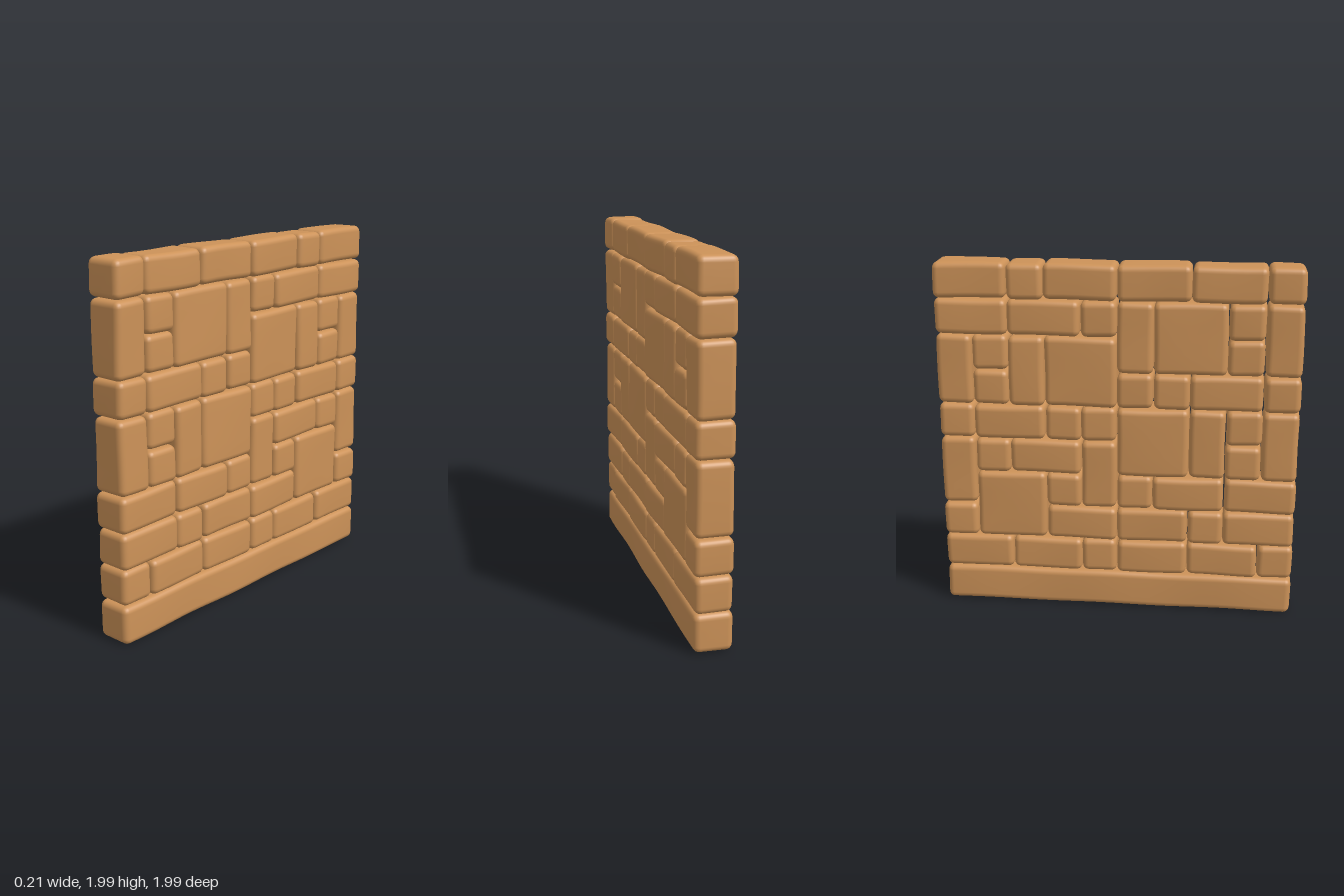
import * as THREE from 'three';
import { mergeVertices } from 'three/addons/utils/BufferGeometryUtils.js';

// Wall plan seen from +x: each letter is one block, columns run from +z to -z
const PLAN = [
  'abbccddeff',
  'ghiijkllmm',
  'gniijoopqr',
  'sttuvoopwr',
  'xyzAABCDDE',
  'xFzAAGHHIJ',
  'KKLLMGNOOJ',
  'PPQRRSSOOT',
  'UVVWWXYYZZ',
  '0000000000',
];
const PITCH_Z = 0.199, THICK = 0.205, RADIUS = 0.034, GAP = 0.003;
const rowY = (row) => (row === 10 ? 0.008 : 0.22 + (9 - row) * 0.1976);

// Rounded, gently uneven stone block; extra loops keep the long sides soft
function stoneGeometry(size, seed) {
  const ends = 3;
  const mids = size.map((s) => Math.max(2, Math.round(s / 0.1)));
  const geo = new THREE.BoxGeometry(1, 1, 1, ...mids.map((m) => m + 2 * ends));
  geo.deleteAttribute('normal');
  geo.deleteAttribute('uv');
  const pos = geo.attributes.position;
  const p = new THREE.Vector3(), core = new THREE.Vector3();
  for (let i = 0; i < pos.count; i++) {
    p.fromBufferAttribute(pos, i);
    for (let a = 0; a < 3; a++) {
      const n = mids[a] + 2 * ends, half = size[a] / 2, inner = half - RADIUS;
      const k = Math.round((p.getComponent(a) + 0.5) * n);
      let v;
      if (k <= ends) v = -half + (RADIUS * k) / ends;
      else if (k >= n - ends) v = half - (RADIUS * (n - k)) / ends;
      else v = -inner + (2 * inner * (k - ends)) / mids[a];
      p.setComponent(a, v);
      core.setComponent(a, THREE.MathUtils.clamp(v, -inner, inner));
    }
    p.sub(core).setLength(RADIUS).add(core);
    // hand-cut unevenness
    const { x, y, z } = p;
    p.x += 0.003 * Math.sin(8 * z + 6 * y + seed * 1.7) * Math.sign(x);
    p.y += 0.003 * Math.sin(9 * z + 5 * x + seed * 2.3);
    p.z += 0.002 * Math.sin(11 * y + 7 * x + seed * 3.1);
    pos.setXYZ(i, p.x, p.y, p.z);
  }
  const smooth = mergeVertices(geo, 1e-5);
  smooth.computeVertexNormals();
  return smooth;
}

export function createModel() {
  const wall = new THREE.Group();
  wall.name = 'stoneWall';
  const sandstone = new THREE.MeshStandardMaterial({ color: 0xcc9258 });
  sandstone.name = 'sandstone';

  // Gather the rectangle covered by each letter
  const blocks = new Map();
  PLAN.forEach((line, row) => [...line].forEach((id, col) => {
    const b = blocks.get(id) ?? { c0: col, r0: row, c1: col, r1: row };
    b.c1 = Math.max(b.c1, col + 1);
    b.r1 = Math.max(b.r1, row + 1);
    blocks.set(id, b);
  }));

  let seed = 0;
  for (const [id, { c0, r0, c1, r1 }] of blocks) {
    seed++;
    const top = rowY(r0), bottom = rowY(r1);
    const size = [THICK, top - bottom - GAP, (c1 - c0) * PITCH_Z - GAP];
    const block = new THREE.Mesh(stoneGeometry(size, seed), sandstone);
    block.name = id === '0' ? 'baseCourse' : `block${seed}`;
    block.position.set(0, (top + bottom) / 2, (5 - (c0 + c1) / 2) * PITCH_Z);
    wall.add(block);
  }
  return wall;
}
